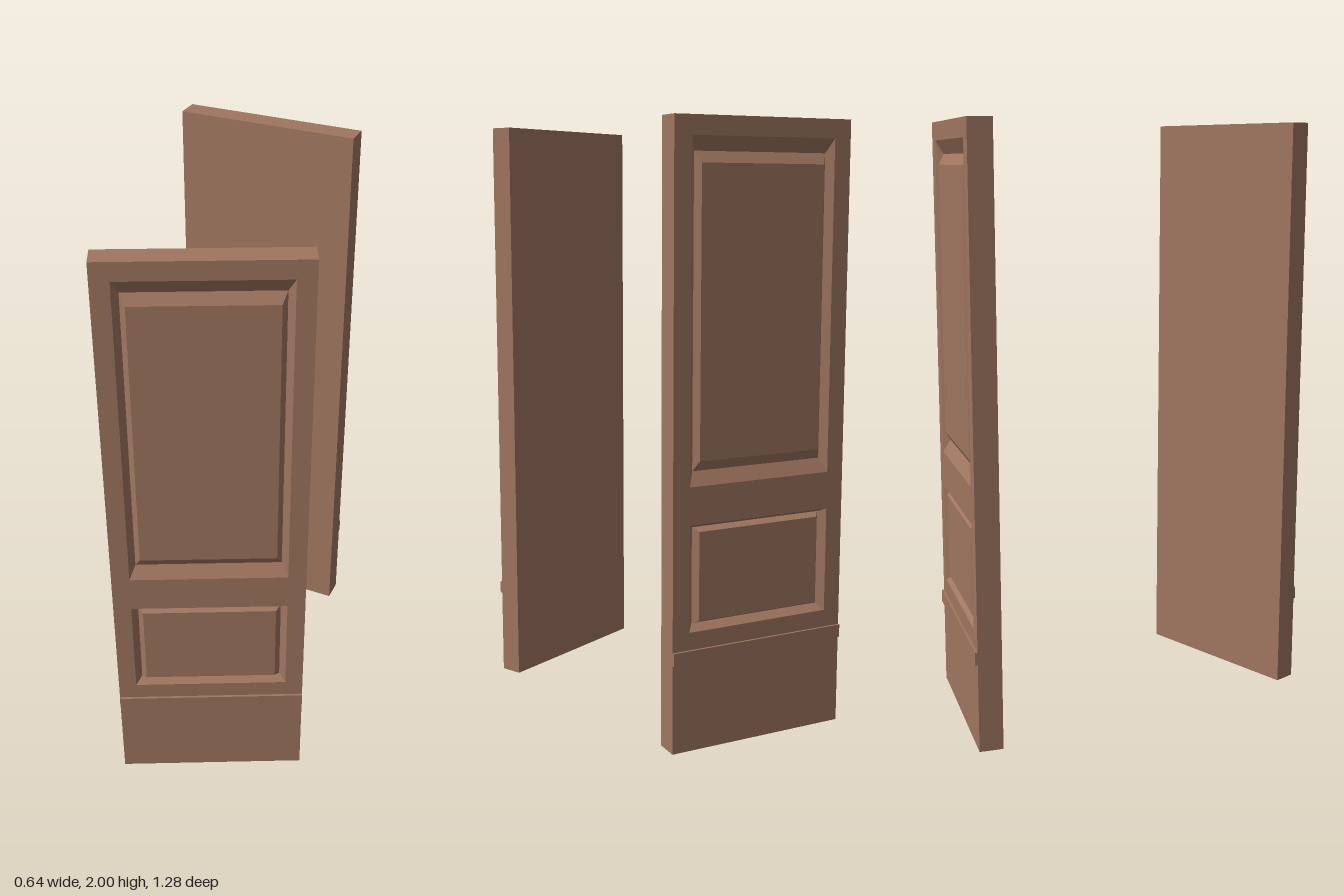
import * as THREE from 'three';

const W = 0.63, H = 2, T = 0.079; // door leaf width, height, thickness

const wood = new THREE.MeshStandardMaterial({ color: 0xa07660, side: THREE.DoubleSide });
wood.name = 'brown wood';

// Nested rectangles [halfWidth, bottom, top, depth] from rim to groove to raised field
const panels = {
  upperPanel: [[0.256, 0.87, 1.94, 0], [0.2355, 0.915, 1.895, 0.024], [0.219, 0.948, 1.86, 0.004]],
  lowerPanel: [[0.256, 0.398, 0.747, 0], [0.2355, 0.42, 0.735, 0.024], [0.219, 0.43, 0.722, 0.004]],
};

const corners = ([w, b, t, d]) => [[-w, b, -d], [w, b, -d], [w, t, -d], [-w, t, -d]];

// Mitred groove walls between successive rectangles, closed by the flat field
function panelGeometry(rings) {
  const pos = [];
  const quad = (a, b, c, d) => pos.push(...a, ...b, ...c, ...a, ...c, ...d);
  for (let r = 0; r < rings.length - 1; r++) {
    const o = corners(rings[r]), n = corners(rings[r + 1]);
    for (let i = 0; i < 4; i++) {
      const j = (i + 1) % 4;
      quad(o[i], o[j], n[j], n[i]);
    }
  }
  quad(...corners(rings[rings.length - 1]));
  const g = new THREE.BufferGeometry();
  g.setAttribute('position', new THREE.Float32BufferAttribute(pos, 3));
  g.computeVertexNormals();
  return g;
}

function add(parent, name, geometry, x = 0, y = 0, z = 0) {
  const mesh = new THREE.Mesh(geometry, wood);
  mesh.name = name;
  mesh.position.set(x, y, z);
  parent.add(mesh);
}

function rectPath(PathType, pts) {
  return new PathType(pts.map(([x, y]) => new THREE.Vector2(x, y)));
}

// One door leaf, local +z is its panelled face
function makeLeaf(name) {
  const leaf = new THREE.Group();
  leaf.name = name;

  // Face sheet with openings for the panels
  const face = rectPath(THREE.Shape, corners([W / 2, 0, H, 0]));
  for (const rings of Object.values(panels)) {
    face.holes.push(rectPath(THREE.Path, corners(rings[0]).reverse()));
  }
  add(leaf, 'face', new THREE.ShapeGeometry(face));
  for (const [key, rings] of Object.entries(panels)) add(leaf, key, panelGeometry(rings));

  // Shell behind the face, open underneath
  add(leaf, 'plainBack', new THREE.PlaneGeometry(W, H).rotateY(Math.PI), 0, H / 2, -T);
  add(leaf, 'topEdge', new THREE.PlaneGeometry(W, T).rotateX(-Math.PI / 2), 0, H, -T / 2);
  for (const s of [-1, 1]) {
    add(leaf, s > 0 ? 'leftEdge' : 'rightEdge',
      new THREE.PlaneGeometry(T, H).rotateY(s * Math.PI / 2), s * W / 2, H / 2, -T / 2);
  }

  // Thin rail above the kick board
  add(leaf, 'kickRail', new THREE.BoxGeometry(W, 0.043, 0.008), 0, 0.3185, 0.004);
  return leaf;
}

export function createModel() {
  const model = new THREE.Group();
  model.name = 'doubleDoors';

  const front = makeLeaf('frontLeaf');
  front.position.set(0.011, 0, 0.5585);
  front.rotation.y = THREE.MathUtils.degToRad(13.4);

  const back = makeLeaf('backLeaf');
  back.position.set(0, 0, -0.5645);
  back.rotation.y = THREE.MathUtils.degToRad(167.6);

  model.add(front, back);
  return model;
}
